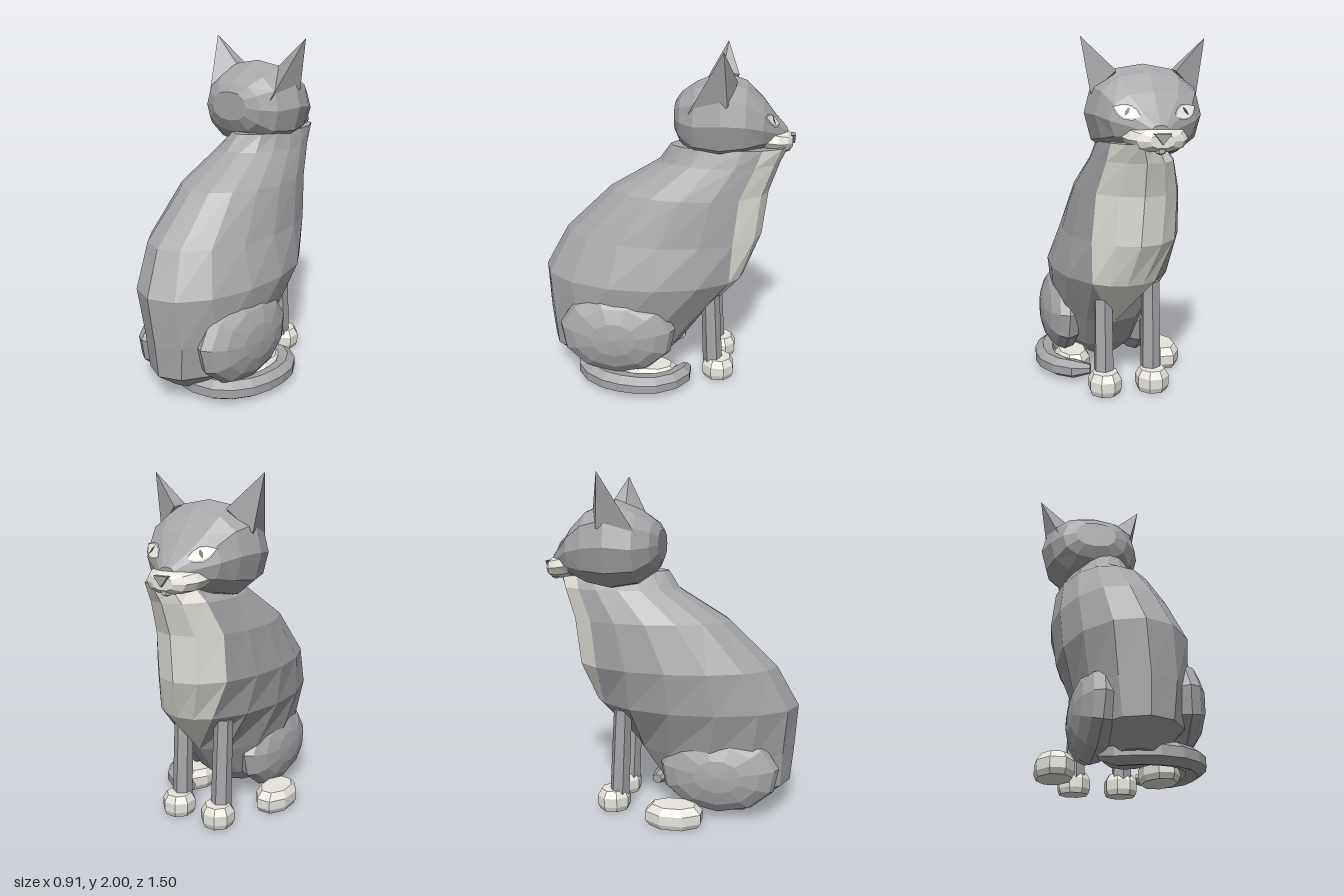
import * as THREE from 'three';
import { ConvexGeometry } from 'three/addons/geometries/ConvexGeometry.js';

const makeMaterial = (name, color) => Object.assign(new THREE.MeshStandardMaterial({ color }), { name });

// Faceted skin over closed rings of equal length, capped at both ends.
// isSecond(ring, column) sends a quad to the second material.
function loft(rings, isSecond = () => false) {
  const sets = [[], []], n = rings[0].length;
  const tri = (set, ...pts) => pts.forEach((p) => sets[set].push(p.x, p.y, p.z));
  for (let i = 0; i + 1 < rings.length; i++) {
    for (let j = 0; j < n; j++) {
      const k = (j + 1) % n, set = isSecond(i, j) ? 1 : 0;
      tri(set, rings[i][j], rings[i][k], rings[i + 1][k]);
      tri(set, rings[i][j], rings[i + 1][k], rings[i + 1][j]);
    }
  }
  const first = rings[0], last = rings[rings.length - 1];
  for (let j = 1; j + 1 < n; j++) {
    tri(0, first[0], first[j + 1], first[j]);
    tri(0, last[0], last[j], last[j + 1]);
  }
  const g = new THREE.BufferGeometry();
  g.setAttribute('position', new THREE.Float32BufferAttribute([...sets[0], ...sets[1]], 3));
  g.addGroup(0, sets[0].length / 3, 0);
  if (sets[1].length) g.addGroup(sets[0].length / 3, sets[1].length / 3, 1);
  g.computeVertexNormals();
  return g;
}

// Horizontal ring for lofts that rise along y.
const flatRing = (y, cx, cz, rx, rz, angles) => angles.map((t) =>
  new THREE.Vector3(cx - rx * Math.sin(t), y, cz - rz * Math.cos(t)));
// Upright, slightly squared ring for lofts that run from back to front.
const squared = (v) => Math.sign(v) * Math.pow(Math.abs(v), 0.85);
const uprightRing = (z, cx, rx, y0, y1, n) => Array.from({ length: n }, (_, i) => {
  const t = (i / n) * Math.PI * 2;
  return new THREE.Vector3(cx + rx * squared(Math.cos(t)),
    (y0 + y1) / 2 - ((y1 - y0) / 2) * squared(Math.sin(t)), z);
});
const even = (n) => Array.from({ length: n }, (_, i) => ((i + 0.5) / n) * Math.PI * 2);

function faceted(g) {
  const out = g.toNonIndexed();
  out.computeVertexNormals();
  return out;
}

export function createModel() {
  const cat = new THREE.Group();
  cat.name = 'cat';
  const grey = makeMaterial('grey fur', 0xa6a6a9);
  const white = makeMaterial('white fur', 0xf0eee6);
  const dark = makeMaterial('dark pupil', 0x3c3c3f);
  const add = (name, geometry, material) => {
    const m = new THREE.Mesh(geometry, material);
    m.name = name;
    cat.add(m);
    return m;
  };

  // Body: y, front z, back z, min x, max x, half angle of the white bib in degrees
  const bodyRows = [
    [0.06, 0.10, 0.56, -0.12, 0.15, 1],
    [0.18, -0.09, 0.71, -0.23, 0.28, 1],
    [0.38, -0.235, 0.73, -0.27, 0.32, 1],
    [0.66, -0.48, 0.75, -0.36, 0.36, 30],
    [0.90, -0.58, 0.62, -0.39, 0.29, 44],
    [1.17, -0.61, 0.34, -0.355, 0.235, 50],
    [1.35, -0.67, 0.04, -0.28, 0.17, 54],
    [1.45, -0.71, -0.03, -0.19, 0.14, 56],
  ];
  const bodyRings = bodyRows.map(([y, zf, zb, x0, x1, bib]) => {
    const a = THREE.MathUtils.degToRad(bib), angles = [];
    for (let i = -2; i <= 2; i++) angles.push((a * i) / 2);
    for (let i = 1; i < 12; i++) angles.push(a + ((2 * Math.PI - 2 * a) * i) / 12);
    return flatRing(y, (x0 + x1) / 2, (zf + zb) / 2, (x1 - x0) / 2, (zb - zf) / 2, angles);
  });
  add('body', loft(bodyRings, (i, j) => i >= 2 && j < 4), [grey, white]);

  // Head: z, half width, bottom y, top y
  const hx = -0.115;
  const headRows = [
    [-0.05, 0.13, 1.52, 1.69], [-0.085, 0.21, 1.45, 1.74], [-0.17, 0.28, 1.37, 1.80],
    [-0.32, 0.325, 1.34, 1.86], [-0.46, 0.29, 1.37, 1.81], [-0.56, 0.235, 1.42, 1.71],
    [-0.63, 0.14, 1.45, 1.62], [-0.70, 0.05, 1.46, 1.545],
  ];
  const head = add('head', loft(headRows.map(([z, rx, y0, y1]) => uprightRing(z, hx, rx, y0, y1, 12))), grey);

  // Muzzle, chin and nose
  const muzzleRows = [
    [-0.57, 0.18, 1.42, 1.55], [-0.65, 0.16, 1.405, 1.54],
    [-0.705, 0.125, 1.41, 1.525], [-0.735, 0.065, 1.43, 1.50],
  ];
  add('muzzle', loft(muzzleRows.map(([z, rx, y0, y1]) => uprightRing(z, hx, rx, y0, y1, 10))), white);
  add('chin', faceted(new THREE.SphereGeometry(0.035, 6, 4)), white).position.set(hx, 1.43, -0.7);
  const nose = [];
  for (const z of [-0.69, -0.75]) {
    nose.push(new THREE.Vector3(hx - 0.045, 1.505, z), new THREE.Vector3(hx + 0.045, 1.505, z),
      new THREE.Vector3(hx, 1.45, z));
  }
  add('nose', new ConvexGeometry(nose), grey);

  // Almond eyes laid on the head surface, outer corners raised
  const almond = (w, h) => {
    const s = new THREE.Shape();
    s.moveTo(-w, 0);
    s.quadraticCurveTo(0, h * 2, w, 0);
    s.quadraticCurveTo(0, -h * 2, -w, 0);
    return new THREE.ShapeGeometry(s, 4);
  };
  const ray = new THREE.Raycaster();
  for (const s of [-1, 1]) {
    const side = s > 0 ? 'left' : 'right';
    ray.set(new THREE.Vector3(hx + s * 0.15, 1.605, -2), new THREE.Vector3(0, 0, 1));
    const hit = ray.intersectObject(head)[0];
    const layers = [['Eyelid', almond(0.085, 0.044), grey], ['Eye', almond(0.074, 0.034), white],
      ['Pupil', almond(0.01, 0.026), dark]];
    layers.forEach(([name, g, material], i) => {
      const m = add(side + name, g, material);
      m.position.copy(hit.point).addScaledVector(hit.face.normal, 0.006 + i * 0.004);
      m.lookAt(m.position.clone().add(hit.face.normal));
      m.rotateZ(-0.4 * s);
    });

    // Ears
    const earPoints = [[0.345, 2.0, -0.335], [0.165, 1.82, -0.41], [0.165, 1.83, -0.31],
      [0.24, 1.65, -0.14], [0.295, 1.70, -0.36], [0.2, 1.68, -0.3]];
    add(side + 'Ear', new ConvexGeometry(earPoints.map(([x, y, z]) => new THREE.Vector3(hx + s * x, y, z))), grey);

    // Front leg and paws
    const legX = -0.04 + s * 0.14;
    const leg = add(side + 'FrontLeg', faceted(new THREE.CylinderGeometry(0.055, 0.06, 0.54, 6)), grey);
    leg.position.set(legX, 0.36, -0.297);
    leg.rotation.x = 0.05;
    const paw = (cx, cz, rx, rz) => loft([[0, 0.88], [0.03, 1], [0.085, 1], [0.125, 0.75]]
      .map(([y, k]) => flatRing(y, cx, cz, rx * k, rz * k, even(8))));
    add(side + 'FrontPaw', paw(legX, -0.345, 0.098, 0.102), white);
    add(side + 'HindPaw', paw(s > 0 ? 0.23 : -0.345, 0.06, 0.11, 0.175), white);

    // Thigh
    const ball = new THREE.SphereGeometry(1, 11, 8).rotateZ(Math.PI / 2);
    const thigh = add(side + 'Thigh', faceted(ball), grey);
    thigh.scale.set(s > 0 ? 0.145 : 0.135, s > 0 ? 0.265 : 0.25, 0.355);
    thigh.position.set(s > 0 ? 0.26 : -0.18, s > 0 ? 0.345 : 0.28, s > 0 ? 0.26 : 0.3);
    thigh.rotation.z = 0.06 * s;
  }

  // Tail curled round the left hind paw, tapering at both ends
  const path = new THREE.CatmullRomCurve3([[-0.16, 0.37], [0, 0.45], [0.18, 0.46], [0.32, 0.36],
    [0.385, 0.17], [0.36, -0.02], [0.26, -0.12], [0.15, -0.15]].map(([x, z]) => new THREE.Vector3(x, 0.065, z)));
  const rows = 12, tailRings = [];
  for (let i = 0; i <= rows; i++) {
    const u = i / rows, p = path.getPointAt(u), d = path.getTangentAt(u);
    const across = new THREE.Vector3(-d.z, 0, d.x);
    const r = i % rows === 0 ? 0.035 : 0.08 - 0.015 * u;
    tailRings.push(even(7).map((t) => p.clone().addScaledVector(across, r * Math.cos(t))
      .add(new THREE.Vector3(0, -r * 0.83 * Math.sin(t), 0))));
  }
  add('tail', loft(tailRings), grey);

  return cat;
}
